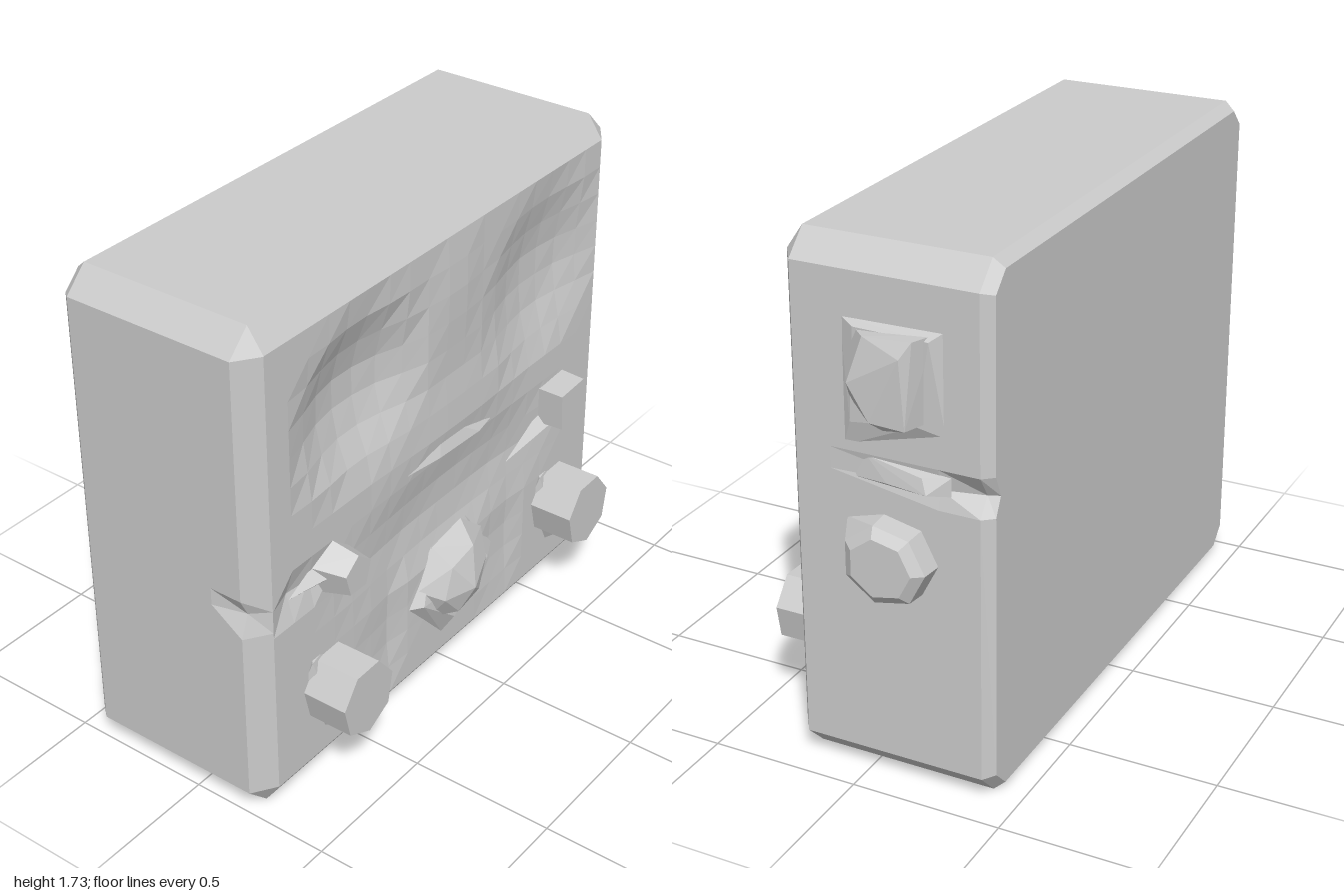
import * as THREE from 'three';
import { ConvexGeometry } from 'three/addons/geometries/ConvexGeometry.js';

const material = new THREE.MeshStandardMaterial({ color: 0xcccccc, flatShading: true });
const LEFT = -1, RIGHT = 0.905, BOTTOM = 0.01, TOP = 1.74, INSET = 0.08, FRONT = 0.27;

function addMesh(group, name, geometry) {
  const mesh = new THREE.Mesh(geometry, material);
  mesh.name = name;
  group.add(mesh);
  return mesh;
}

function hull(group, name, points) {
  return addMesh(group, name, new ConvexGeometry(points.map(p => new THREE.Vector3(...p))));
}

// Regular polygon of points in a plane of constant z
function ring(cx, cy, z, rx, ry, sides, turn = 0) {
  return Array.from({ length: sides }, (_, i) => {
    const a = turn + (i / sides) * Math.PI * 2;
    return [cx + rx * Math.cos(a), cy + ry * Math.sin(a), z];
  });
}

// Chamfered outline with a small dent in each side edge
function outline({ z, inset, chamfer, rightDent, leftDent }) {
  const l = LEFT + inset, r = RIGHT - inset, b = BOTTOM + inset, t = TOP - inset, c = chamfer;
  return [
    [l + c, b, z], [r - c, b, z], [r, b + c, z],
    [r, 0.97, z], [r - rightDent, 1.03, z], [r, 1.1, z],
    [r, t - c, z], [r - c, t, z], [l + c, t, z], [l, t - c, z],
    [l, 0.84, z], [l + leftDent, 0.78, z], [l, 0.7, z],
    [l, b + c, z],
  ];
}

// Casing lofted from back to front, open where the front panel sits
function casingGeometry() {
  const rings = [
    { z: -0.43, inset: 0.03, chamfer: 0.06, rightDent: 0.03, leftDent: 0 },
    { z: -0.395, inset: 0, chamfer: 0.08, rightDent: 0.045, leftDent: 0 },
    { z: -0.26, inset: 0, chamfer: 0.08, rightDent: 0.015, leftDent: 0 },
    { z: 0.1, inset: 0, chamfer: 0.08, rightDent: 0, leftDent: 0 },
    { z: 0.215, inset: 0, chamfer: 0.08, rightDent: 0, leftDent: 0.03 },
    { z: FRONT, inset: INSET, chamfer: 0.001, rightDent: 0, leftDent: 0 },
  ].map(outline);
  const n = rings[0].length, positions = [...rings.flat(), [-0.05, 0.87, -0.43]];
  const index = [], centre = positions.length - 1;
  for (let j = 0; j < n; j++) {
    const k = (j + 1) % n;
    index.push(centre, k, j);
    for (let i = 0; i < rings.length - 1; i++) {
      const a = i * n + j, b = i * n + k;
      index.push(a, b, b + n, a, b + n, a + n);
    }
  }
  const g = new THREE.BufferGeometry();
  g.setAttribute('position', new THREE.Float32BufferAttribute(positions.flat(), 3));
  g.setIndex(index);
  g.computeVertexNormals();
  return g;
}

// Front relief: two sunken dials, a shallow lower area and a few soft creases
function relief(x, y) {
  const dish = (cx, cy, rx, ry, depth) => {
    const d = Math.hypot((x - cx) / rx, (y - cy) / ry);
    return -depth * Math.min(1, Math.max(0, (1 - d) * 1.5));
  };
  return dish(-0.48, 1.31, 0.33, 0.29, 0.075) + dish(0.5, 1.3, 0.33, 0.32, 0.055)
    + dish(0, 0.68, 0.65, 0.21, 0.03) + dish(-0.8, 0.77, 0.14, 0.08, 0.03)
    + dish(0.3, 0.36, 0.12, 0.25, 0.015) + dish(-0.35, 0.36, 0.12, 0.25, 0.015)
    - dish(0, 1.0, 0.45, 0.13, 0.012) - dish(0, 1.45, 0.14, 0.25, 0.01);
}

function panelGeometry() {
  const w = RIGHT - LEFT - 2 * INSET, h = TOP - BOTTOM - 2 * INSET;
  const g = new THREE.PlaneGeometry(w, h, 18, 16);
  g.translate((LEFT + RIGHT) / 2, (BOTTOM + TOP) / 2, FRONT);
  const p = g.attributes.position;
  for (let i = 0; i < p.count; i++) {
    const x = p.getX(i), y = p.getY(i);
    const border = Math.min(x - LEFT, RIGHT - x, y - BOTTOM, TOP - y) - INSET;
    if (border > 0.001) p.setZ(i, FRONT + relief(x, y));
  }
  g.computeVertexNormals();
  return g;
}

export function createModel() {
  const model = new THREE.Group();
  model.name = 'controlBox';
  addMesh(model, 'casing', casingGeometry());
  addMesh(model, 'frontPanel', panelGeometry());

  // Large lower knobs with a tapered skirt below
  for (const [side, x] of [['right', -0.663], ['left', 0.613]]) {
    hull(model, side + 'Knob', [
      ...ring(x, 0.355, 0.43, 0.125, 0.13, 7, 0.25),
      ...ring(x, 0.355, 0.24, 0.125, 0.13, 7, 0.25),
    ]);
    hull(model, side + 'KnobSkirt', [
      ...ring(x, 0.37, 0.25, 0.12, 0.13, 6), [x - 0.02, 0.18, 0.27],
      [x - 0.02, 0.23, 0.33], [x - 0.09, 0.48, 0.28],
    ]);
  }

  // Central faceted dome on a pointed collar
  hull(model, 'centreCollar', [
    [-0.245, 0.36, 0.26], [-0.05, 0.16, 0.27], [0.255, 0.355, 0.26],
    [-0.1, 0.54, 0.26], [0.09, 0.56, 0.26],
    [-0.19, 0.36, 0.3], [-0.03, 0.23, 0.31], [0.17, 0.36, 0.305],
  ]);
  hull(model, 'centreDome', [
    ...ring(0, 0.4, 0.27, 0.19, 0.18, 7, 0.4),
    ...ring(-0.01, 0.39, 0.34, 0.12, 0.12, 6, 0.2), [-0.01, 0.37, 0.38],
  ]);

  // Small upper knobs, each with a crease running away from it
  hull(model, 'rightSmallKnob', [
    ...ring(-0.635, 0.785, 0.25, 0.09, 0.095, 5, 0.3),
    ...ring(-0.62, 0.78, 0.36, 0.065, 0.07, 5, 0.3),
  ]);
  hull(model, 'rightCrease', [
    [-0.84, 0.775, 0.265], [-0.68, 0.83, 0.25], [-0.68, 0.73, 0.25], [-0.68, 0.78, 0.3],
  ]);
  hull(model, 'leftSmallKnob', [
    ...ring(0.585, 0.785, 0.25, 0.1, 0.1, 4, 0.85),
    ...ring(0.585, 0.785, 0.36, 0.095, 0.095, 4, 0.85),
  ]);
  hull(model, 'leftCrease', [
    [0.32, 0.65, 0.265], [0.53, 0.75, 0.26], [0.65, 0.7, 0.26], [0.6, 0.72, 0.31],
  ]);

  // Thin lip across the middle of the panel
  hull(model, 'middleLip', [
    [-0.35, 0.905, 0.26], [0.26, 0.885, 0.26], [-0.05, 1.0, 0.255],
    [-0.1, 0.9, 0.29], [0.12, 0.89, 0.29], [0, 0.875, 0.25],
  ]);

  // Upper side switch: four-cornered mount and a slanted faceted button
  hull(model, 'sideSwitchMount', [
    [0.9, 1.52, 0.055], [0.9, 1.525, -0.285], [0.9, 1.2, -0.285], [0.9, 1.11, 0.055],
    [0.925, 1.5, 0], [0.935, 1.5, -0.25], [0.925, 1.23, -0.2], [0.92, 1.2, 0.02],
  ]);
  hull(model, 'sideSwitch', [
    [0.9, 1.49, 0.01], [0.9, 1.51, -0.25], [0.9, 1.24, -0.23], [0.9, 1.27, 0.03],
    [0.975, 1.5, -0.06], [0.975, 1.51, -0.22], [1, 1.46, -0.19], [1, 1.36, -0.02],
    [1, 1.25, -0.09], [0.99, 1.24, -0.2], [0.97, 1.22, -0.12],
  ]);

  // Lower side button, with a thin ridge between it and the switch
  const side = (x, s) => ring(0, 0.785, x, 0.14 * s, 0.13 * s, 7, 0.45)
    .map(([z, y]) => [x, y, z - 0.11]);
  hull(model, 'sideButton', [...side(0.89, 1.05), ...side(0.975, 1), ...side(1, 0.75), [0.9, 0.88, 0.05]]);
  hull(model, 'sideRidge', [
    [0.9, 1.02, 0.03], [0.9, 1.095, -0.02], [0.9, 1.02, -0.3], [0.9, 1.08, -0.3],
    [0.945, 1.03, -0.24], [0.93, 1.075, -0.22], [0.925, 1.03, -0.1],
  ]);
  return model;
}
